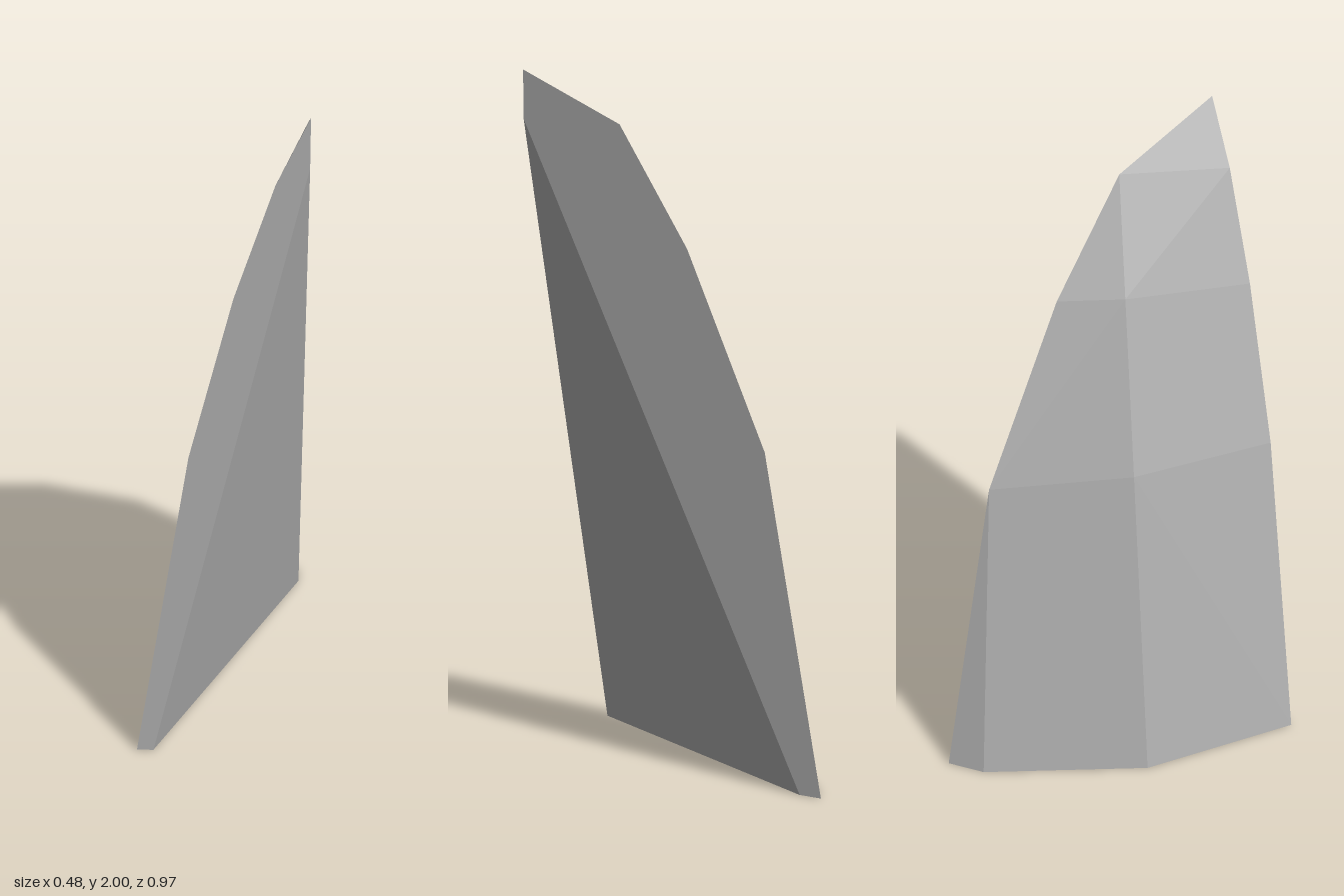
import * as THREE from 'three';
import { ConvexGeometry } from 'three/addons/geometries/ConvexGeometry.js';

// A faceted corner shard: flat on its +x and +z sides, curving up to a tip,
// with the inner corner cut away by one slanted plane.
const SIDE = 0.237, FRONT = 0.485;

export function createModel() {
  const group = new THREE.Group();
  group.name = 'rockShard';

  const stone = new THREE.MeshStandardMaterial({ color: 0xb2b2b2 });
  stone.name = 'grey stone';

  // [x, y] along the front edge, [y, z] along the side edge
  const frontEdge = [[-0.238, 0], [-0.082, 0.99], [0.04, 1.48], [0.148, 1.81]];
  const sideEdge = [[0, -FRONT], [0.963, -0.303], [1.515, -0.055], [1.853, 0.163]];
  // ridge between the two edges, and the extra bevel corner at the foot
  const ridge = [[-0.138, 0, 0], [0, 1.0, 0.045], [0.12, 1.525, 0.1], [0.14, 0, -0.42]];
  const tip = [SIDE, 2, FRONT];
  // corners of the slanted inner face
  const innerCut = [[-0.19, 0, FRONT], [SIDE, 0, -0.418], [SIDE, 1.86, FRONT]];

  const points = [
    ...frontEdge.map(([x, y]) => [x, y, FRONT]),
    ...sideEdge.map(([y, z]) => [SIDE, y, z]),
    ...ridge, tip, ...innerCut,
  ].map((p) => new THREE.Vector3(...p));

  const shard = new THREE.Mesh(new ConvexGeometry(points), stone);
  shard.name = 'shard';
  group.add(shard);
  return group;
}
